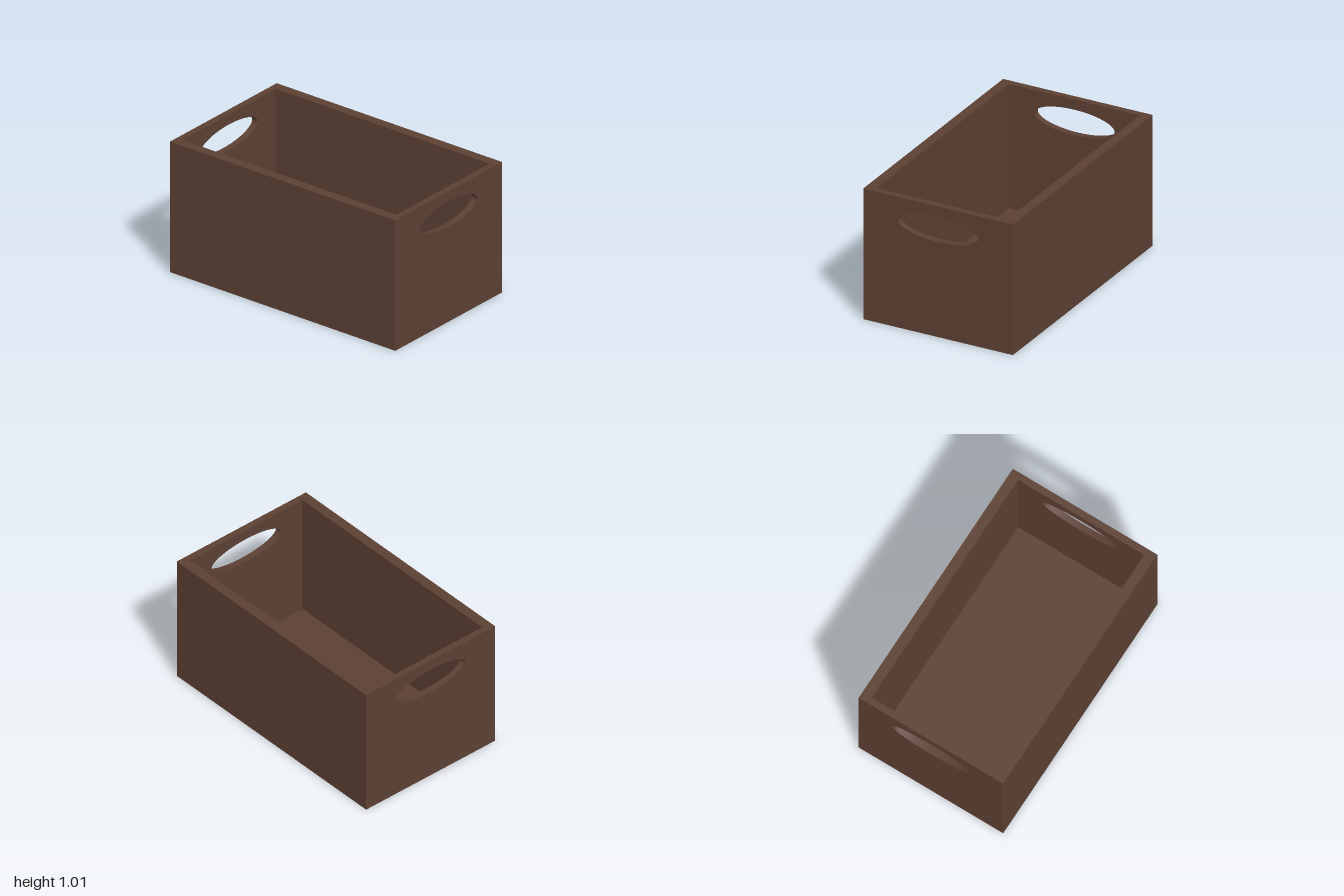
import * as THREE from 'three';

const W = 2, H = 1.006, D = 1.186;           // outer size
const END = 0.05, SIDE = 0.075, FLOOR = 0.05; // wall thicknesses

export function createModel() {
  const crate = new THREE.Group();
  crate.name = 'crate';
  const material = new THREE.MeshStandardMaterial({ color: 0x5c4033 });

  const add = (name, geometry, x, y, z) => {
    const mesh = new THREE.Mesh(geometry, material);
    mesh.name = name;
    mesh.position.set(x, y, z);
    crate.add(mesh);
  };

  // End panel with an oval hand hole, extruded along x
  const panel = new THREE.Shape();
  panel.moveTo(-D / 2, 0);
  panel.lineTo(D / 2, 0);
  panel.lineTo(D / 2, H);
  panel.lineTo(-D / 2, H);
  panel.closePath();
  const handHole = new THREE.Path();
  handHole.absellipse(0, 0.83, 0.318, 0.098, 0, Math.PI * 2, true);
  panel.holes.push(handHole);
  const endGeometry = new THREE.ExtrudeGeometry(panel, {
    depth: END, bevelEnabled: false, curveSegments: 48,
  });
  endGeometry.translate(0, 0, -END / 2);
  endGeometry.rotateY(Math.PI / 2);
  add('leftEndPanel', endGeometry, (W - END) / 2, 0, 0);
  add('rightEndPanel', endGeometry, -(W - END) / 2, 0, 0);

  // Long walls fit between the end panels
  const innerWidth = W - 2 * END;
  const wallGeometry = new THREE.BoxGeometry(innerWidth, H, SIDE);
  add('frontWall', wallGeometry, 0, H / 2, (D - SIDE) / 2);
  add('backWall', wallGeometry, 0, H / 2, -(D - SIDE) / 2);

  // Floor fits inside all four walls
  add('floor', new THREE.BoxGeometry(innerWidth, FLOOR, D - 2 * SIDE), 0, FLOOR / 2, 0);

  return crate;
}
